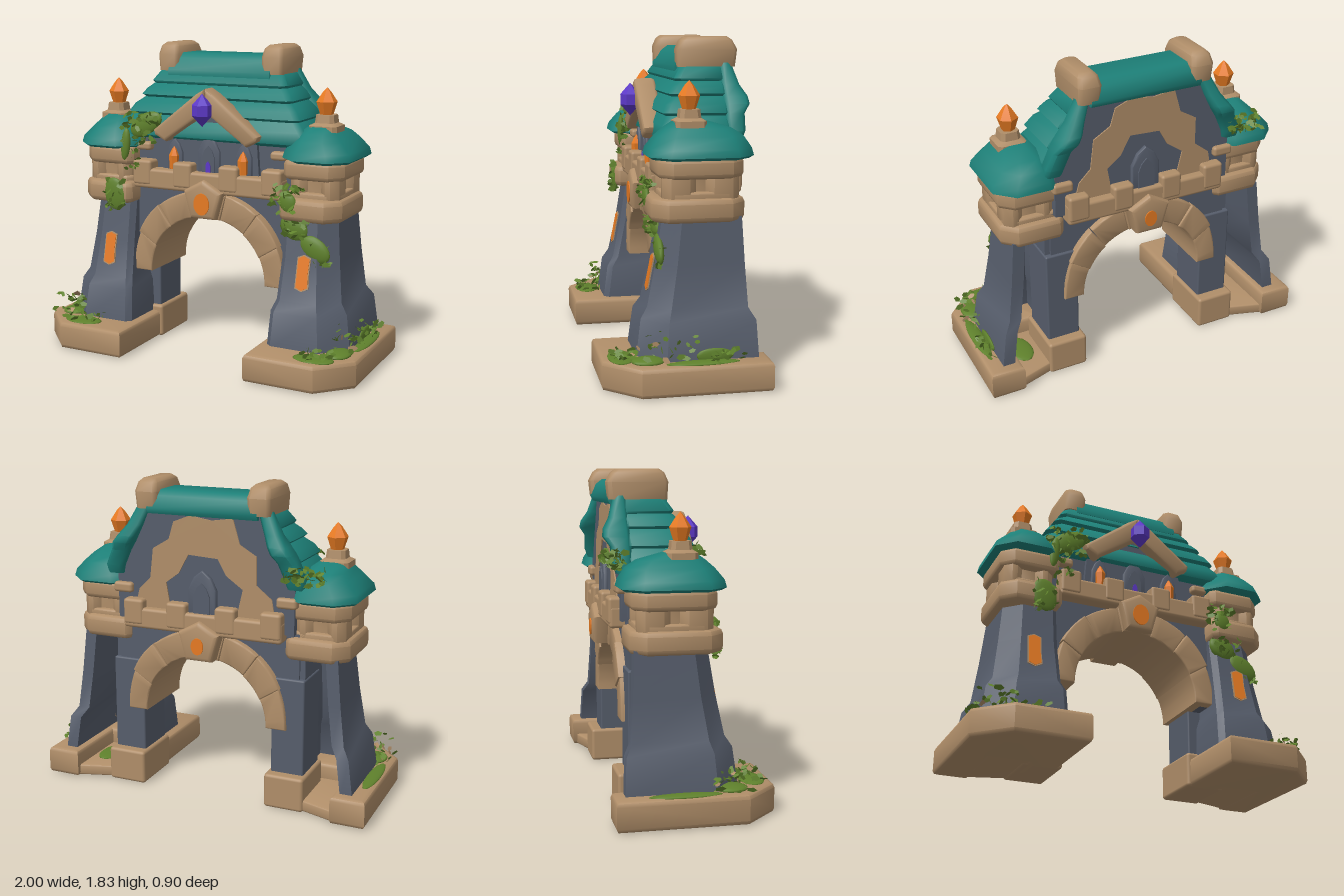
import * as THREE from 'three';
import { mergeGeometries, toCreasedNormals } from 'three/addons/utils/BufferGeometryUtils.js';
import { RoundedBoxGeometry } from 'three/addons/geometries/RoundedBoxGeometry.js';

const material = (name, color, side = THREE.FrontSide) => {
  const m = new THREE.MeshStandardMaterial({ color, side });
  m.name = name;
  return m;
};

export function createModel() {
  const model = new THREE.Group();
  const stone = material('sandstone', 0xb08e69);
  const slate = material('slate', 0x565d6b);
  const tile = material('teal tile', 0x1d8078);
  const glow = material('orange glow', 0xe67a22);
  const gem = material('purple gem', 0x5d39c8);
  const leaf = material('leaf green', 0x5f812c, THREE.DoubleSide);

  const add = (name, geo, mat, x = 0, y = 0, z = 0) => {
    const mesh = new THREE.Mesh(geo, mat);
    mesh.name = name;
    mesh.position.set(x, y, z);
    model.add(mesh);
    return mesh;
  };
  const shapeOf = (pts) => new THREE.Shape(pts.map((p) => new THREE.Vector2(p[0], p[1])));
  const extrude = (shape, depth, b) => new THREE.ExtrudeGeometry(shape, {
    depth: depth - 2 * b, bevelEnabled: b > 0, bevelThickness: b, bevelSize: b,
    bevelOffset: -b, bevelSegments: 2, curveSegments: 20 }).translate(0, 0, b);
  // Outline in x,y pushed from z0 to z1
  const block = (name, shape, z0, z1, mat, b = 0.015) =>
    add(name, toCreasedNormals(extrude(Array.isArray(shape) ? shapeOf(shape) : shape, z1 - z0, b), 0.8), mat, 0, 0, z0);
  // Outline in x,z filled from y0 to y1
  const slab = (name, pts, y0, y1, mat, b = 0.02) =>
    add(name, toCreasedNormals(extrude(shapeOf(pts), y1 - y0, b).rotateX(Math.PI / 2), 0.8), mat, 0, y1, 0);
  const box = (name, x, y, z, w, h, d, mat = stone, r = 0.018) =>
    add(name, new RoundedBoxGeometry(w, h, d, 2, r), mat, x, y, z);

  // Skin through stacked outlines: levels of [y, [[x, z], ...]]
  const loft = (name, levels, mat, crease = 0.6) => {
    const rings = levels.map(([y, pts]) => {
      const v = pts.map((p) => new THREE.Vector2(p[0], p[1]));
      return [y, THREE.ShapeUtils.area(v) < 0 ? v.reverse() : v];
    });
    const n = rings[0][1].length, pos = [], idx = [];
    rings.forEach(([y, v]) => v.forEach((p) => pos.push(p.x, y, p.y)));
    for (let k = 0; k < rings.length - 1; k++) for (let i = 0; i < n; i++) {
      const a = k * n + i, b = k * n + (i + 1) % n;
      idx.push(a, a + n, b, b, a + n, b + n);
    }
    const top = (rings.length - 1) * n;
    THREE.ShapeUtils.triangulateShape(rings[0][1], []).forEach(([a, b, c]) => idx.push(a, b, c));
    THREE.ShapeUtils.triangulateShape(rings[rings.length - 1][1], []).forEach(([a, b, c]) => idx.push(top + a, top + c, top + b));
    const geo = new THREE.BufferGeometry();
    geo.setAttribute('position', new THREE.Float32BufferAttribute(pos, 3));
    geo.setIndex(idx);
    return add(name, toCreasedNormals(geo, crease), mat);
  };
  // Rectangle with cut corners, c at the outside and k at the inside
  const cut = (s, x0, x1, z0, z1, c, k = c) => [[x0 + k, z0], [x1 - c, z0], [x1, z0 + c], [x1, z1 - c],
    [x1 - c, z1], [x0 + k, z1], [x0, z1 - k], [x0, z0 + k]].map(([x, z]) => [x * s, z]);
  const oval = (x, y, rx, ry) => new THREE.Shape().absellipse(x, y, rx, ry, 0, Math.PI * 2);
  const pointed = (x, y, w, h) => [[x - w, y], [x + w, y], [x + w, y + h * 0.6], [x + w * 0.6, y + h * 0.85], [x, y + h], [x - w * 0.6, y + h * 0.85], [x - w, y + h * 0.6]];
  const lathe = (pts, n) => toCreasedNormals(new THREE.LatheGeometry(pts.map((p) => new THREE.Vector2(...p)), n), 0.3);

  for (const s of [1, -1]) {
    const flip = (pts) => pts.map(([x, z]) => [x * s, z]);
    // Plinth, with a channel open to the back
    slab('plinthFloor', flip([[0.42, -0.34], [0.6, -0.34], [0.82, -0.41], [0.97, -0.41], [0.97, 0.25], [0.8, 0.42], [0.42, 0.42]]), 0.005, 0.07, stone, 0.01);
    slab('plinth', flip([[1, -0.43], [1, 0.27], [0.82, 0.455], [0.4, 0.455], [0.4, -0.2], [0.6, -0.2], [0.6, 0], [0.8, 0], [0.8, -0.43]]), 0, 0.165, stone, 0.025);
    box('pillarBase', s * 0.5, 0.1, -0.19, 0.235, 0.2, 0.34);
    box('pillar', s * 0.5, 0.45, -0.17, 0.195, 0.62, 0.26, slate, 0.01);

    // Tapered tower, hollow at the back
    loft('tower', [[0.15, 0.45, 0.91, -0.37, 0.265, 0.14], [0.36, 0.46, 0.88, -0.36, 0.237, 0.13],
      [0.42, 0.48, 0.84, -0.325, 0.198, 0.11], [0.65, 0.49, 0.81, -0.312, 0.15, 0.1], [0.9, 0.49, 0.785, -0.3, 0.11, 0.09]]
      .map(([y, x0, x1, zb, zf, c]) => [y, flip([[x1, zb], [x1, zf - c], [x1 - c, zf], [x0 + 0.03, zf], [x0, zf - 0.03],
        [x0, -0.27], [x0 + 0.1, -0.27], [x0 + 0.1, zf - 0.12], [x1 - 0.07, zf - 0.12], [x1 - 0.07, zb]])]), slate);

    // Glowing slit window on the sloping front
    for (const [name, w, h, d, m] of [['windowFrame', 0.042, 0.105, 0.006, stone], ['towerWindow', 0.035, 0.098, 0.009, glow]]) {
      const pts = [[-w, -h * 0.85], [0, -h], [w, -h * 0.8], [w * 0.9, 0], [w, h * 0.85], [0, h], [-w * 0.9, h * 0.85]];
      const win = block(name, pts, 0, d, m, 0);
      win.position.set(s * 0.635, 0.585, 0.164);
      win.rotation.x = -0.19;
    }

    // Gallery: cornice, piers with openings, cap
    slab('towerCornice', cut(s, 0.48, 0.835, -0.32, 0.18, 0.08, 0.03), 0.875, 1.005, stone, 0.03);
    slab('galleryCore', cut(s, 0.52, 0.77, -0.25, 0.09, 0.05), 0.98, 1.14, stone, 0);
    slab('gallerySill', cut(s, 0.505, 0.81, -0.285, 0.125, 0.06, 0.03), 0.98, 1.035, stone, 0.01);
    for (const x of [0.58, 0.76]) for (const z of [-0.195, 0.035])
      slab('galleryPier', cut(s, x - 0.06, x + 0.05, z - 0.09, z + 0.09, 0.04), 0.99, 1.14, stone, 0.008);
    slab('galleryCap', cut(s, 0.49, 0.835, -0.31, 0.145, 0.07, 0.03), 1.105, 1.215, stone, 0.025);

    // Flared tower roof and finial
    loft('towerRoof', [[1.205, 0.5, 0.85, -0.34, 0.17, 0.09], [1.22, 0.47, 0.87, -0.365, 0.195, 0.1], [1.26, 0.48, 0.862, -0.355, 0.185, 0.1],
      [1.32, 0.52, 0.805, -0.32, 0.14, 0.08], [1.36, 0.55, 0.77, -0.26, 0.095, 0.06], [1.4, 0.6, 0.735, -0.12, 0.04, 0.03]]
      .map(([y, x0, x1, z0, z1, c]) => [y, cut(s, x0, x1, z0, z1, c)]), tile, 1);
    loft('finialBase', [[1.36, 0.6, 0.765], [1.4, 0.6, 0.765], [1.415, 0.625, 0.74], [1.46, 0.63, 0.735]]
      .map(([y, a, b]) => [y, cut(s, a, b, -0.035 - (b - a) / 2, -0.035 + (b - a) / 2, 0.02)]), stone);
    add('finialFlame', lathe([[0, 0], [0.034, 0], [0.06, 0.08], [0.024, 0.135], [0, 0.16]], 6), glow, s * 0.68, 1.45, -0.035);

    // Ridge end stone
    loft('ridgeStone', [[1.665, 0.275, 0.4, -0.36, -0.04], [1.76, 0.27, 0.405, -0.37, -0.035], [1.81, 0.28, 0.395, -0.345, -0.055], [1.83, 0.3, 0.375, -0.32, -0.08]]
      .map(([y, a, b, c, d]) => [y, cut(s, a, b, c, d, 0.02)]), stone, 0.9);
    // Roof lip overhanging the back wall
    loft('roofLip', [[1.28, 0.5, 0.6, -0.35], [1.33, 0.49, 0.6, -0.37], [1.42, 0.45, 0.56, -0.375], [1.47, 0.42, 0.535, -0.41],
      [1.51, 0.4, 0.505, -0.405], [1.57, 0.37, 0.46, -0.37], [1.69, 0.32, 0.4, -0.335]]
      .map(([y, a, b, z]) => [y, cut(s, a, b, z, -0.27, 0.02)]), tile, 1);

    // Gable beam, eave stones and lamps
    block('gableBeam', flip([[0, 1.585], [0.06, 1.55], [0.34, 1.33], [0.33, 1.3], [0.26, 1.265], [0, 1.45]]), 0.02, 0.145, stone, 0.02);
    box('eaveBlock', s * 0.44, 1.22, 0.05, 0.1, 0.05, 0.08);
    box('rearEaveBlock', s * 0.5, 1.2, -0.32, 0.12, 0.06, 0.07);
    block('lampNiche', pointed(s * 0.225, 1.08, 0.05, 0.2), 0.06, 0.085, slate, 0.006);
    add('lamp', lathe([[0, 0], [0.028, 0], [0.032, 0.08], [0.015, 0.115], [0, 0.135]], 6), glow, s * 0.225, 1.1, 0.09);
  }

  // Arch stones and the wall around them; the power p tunes the fullness of the curve
  const arc = (t, rx, ry, p = 0.92) => [rx * Math.sign(Math.cos(t)) * Math.abs(Math.cos(t)) ** p, 0.46 + ry * Math.abs(Math.sin(t)) ** p];
  const inner = Array.from({ length: 17 }, (_, i) => arc(Math.PI * (1 - i / 16), 0.43, 0.43));
  block('archWall', [[-0.56, 0.46], ...inner, [0.56, 0.46], [0.56, 1.02], [-0.56, 1.02]], -0.285, 0.06, slate, 0);
  const stones = 7;
  for (let i = 0; i < stones; i++) {
    const out = 0.008 * (i % 2), pts = [];
    const angle = (k) => Math.PI * (i + k / 5) / stones;
    for (let k = 0; k <= 5; k++) pts.push(arc(angle(k), 0.375, 0.37, 0.96));
    for (let k = 5; k >= 0; k--) pts.push(arc(angle(k), 0.495 + out, 0.52));
    block('archStone', pts, -0.322 - out, 0.115 + out, stone, 0.008);
  }

  // Parapets, merlons and keystones on both faces
  for (const f of [1, -1]) {
    const z = (d) => f > 0 ? 0.055 + d : -0.295 - d;
    box('parapet', 0, 1.035, z(0.035), 0.97, 0.12, 0.1);
    for (const x of [-0.42, -0.15, 0.15, 0.42]) box('merlon', x, 1.07, z(0.04), 0.125, 0.15, 0.1);
    const span = (a, b) => [Math.min(z(a), z(b)), Math.max(z(a), z(b))];
    block('keystone', [[0, 1.06], [-0.125, 0.99], [-0.08, 0.83], [0.08, 0.83], [0.125, 0.99]], ...span(0, 0.12), stone, 0.025);
    const size = f > 0 ? 1 : 0.75;
    block('keystoneLight', oval(0, 0.92, 0.05 * size, 0.064 * size), ...span(0.118, 0.126), glow, 0);
  }

  // Upper hall with front gable and niche
  box('hall', 0, 1.16, -0.125, 1.06, 0.34, 0.34, slate, 0.01);
  block('gableWall', [[-0.32, 1.04], [0.32, 1.04], [0.3, 1.3], [0, 1.53], [-0.3, 1.3]], -0.1, 0.07, slate, 0);
  block('nicheFrame', pointed(0, 1.08, 0.07, 0.23), 0.065, 0.085, slate, 0.006);
  block('niche', pointed(0, 1.08, 0.04, 0.17), 0.084, 0.091, slate, 0);
  block('nicheGlow', pointed(0, 1.09, 0.016, 0.07), 0.09, 0.096, gem, 0);
  add('gem', lathe([[0, -0.095], [0.058, -0.03], [0.058, 0.03], [0, 0.095]], 6), gem, 0, 1.465, 0.165);

  // Tiled main roof in overlapping courses
  loft('mainRoof', [[1.27, 0.6, 0.06], [1.29, 0.62, 0.095], [1.36, 0.585, 0.085], [1.41, 0.54, 0.055], [1.425, 0.555, 0.075], [1.47, 0.525, 0.055],
    [1.51, 0.475, 0.015], [1.525, 0.49, 0.035], [1.56, 0.465, 0.01], [1.59, 0.43, -0.02], [1.605, 0.44, -0.01], [1.69, 0.385, -0.065]]
    .map(([y, w, zf]) => [y, cut(1, -w, w, -0.3, zf, 0.03)]), tile, 1.3);
  // Cross roof behind the gable
  block('gableRoof', [[0, 1.55], [-0.3, 1.32], [-0.28, 1.26], [0.28, 1.26], [0.3, 1.32]], -0.15, 0.05, tile, 0);
  loft('ridge', [[1.64, -0.35, -0.03], [1.67, -0.365, -0.03], [1.74, -0.34, -0.07], [1.77, -0.3, -0.11]]
    .map(([y, a, b]) => [y, [[-0.33, a], [0.33, a], [0.33, b], [-0.33, b]]]), tile, 1);

  // Back wall with bare patches of stone and a niche
  block('backWall', [[-0.54, 1.02], [0.54, 1.02], [0.54, 1.34], [0.38, 1.67], [-0.38, 1.67], [-0.54, 1.34]], -0.325, -0.29, slate, 0);
  const patch = shapeOf([[-0.44, 1.05], [0.44, 1.05], [0.4, 1.2], [0.33, 1.27], [0.31, 1.44], [0.21, 1.5], [0.18, 1.6], [0.08, 1.64],
    [-0.05, 1.62], [-0.18, 1.64], [-0.22, 1.5], [-0.32, 1.44], [-0.32, 1.28], [-0.41, 1.21]]);
  patch.holes.push(new THREE.Path(shapeOf([[-0.2, 1.08], [-0.24, 1.25], [-0.14, 1.32], [-0.09, 1.41], [0.09, 1.42], [0.15, 1.31], [0.23, 1.25], [0.2, 1.08]]).getPoints()));
  block('barePatch', patch, -0.333, -0.324, stone, 0);
  block('backNicheFrame', pointed(0, 1.07, 0.085, 0.27), -0.35, -0.32, slate, 0.008);
  block('backNiche', pointed(0, 1.07, 0.05, 0.2), -0.358, -0.349, slate, 0);

  // Ivy: flattened mats and scattered leaves
  let seed = 7;
  const rnd = () => (seed = (seed * 16807) % 2147483647) / 2147483647;
  const leaves = (name, x, y, z, rx, ry, rz, count, mat) => {
    const parts = [];
    for (let i = 0; i < count; i++) {
      const g = new THREE.CircleGeometry(0.016 + rnd() * 0.016, 5).scale(1, 0.6, 1);
      g.rotateX(rnd() * 2.4 - 1.2).rotateY(rnd() * 6).rotateZ(rnd() * 2 - 1);
      parts.push(g.translate((rnd() * 2 - 1) * rx, (rnd() * 2 - 1) * ry, (rnd() * 2 - 1) * rz));
    }
    add(name, mergeGeometries(parts), mat, x, y, z);
  };
  const ivy = [ // x, y, z, rx, ry, rz, leaf count
    [-0.86, 0.23, 0.2, 0.12, 0.06, 0.1, 44], [-0.72, 0.185, 0.33, 0.1, 0.015, 0.08, 20], [0.78, 0.185, 0.33, 0.1, 0.015, 0.08, 20],
    [0.91, 0.23, 0.1, 0.07, 0.08, 0.14, 44], [-0.44, 1.34, 0.11, 0.12, 0.09, 0.03, 48], [-0.48, 1.18, 0.14, 0.06, 0.09, 0.03, 26],
    [-0.59, 0.92, 0.18, 0.07, 0.1, 0.02, 28], [0.53, 1.0, 0.17, 0.09, 0.08, 0.03, 50], [0.58, 0.84, 0.16, 0.08, 0.06, 0.02, 22],
    [0.72, 0.7, 0.13, 0.06, 0.08, 0.02, 14], [-0.61, 1.36, -0.38, 0.1, 0.05, 0.05, 54], [0.95, 0.2, -0.2, 0.03, 0.03, 0.1, 18]];
  for (const row of ivy) leaves('leaves', ...row, leaf);
  for (const s of [1, -1]) leaves('witheredLeaves', s * 0.88, 0.22, 0.18, 0.09, 0.05, 0.1, 12, stone);
  // Ivy mats: x, y, z, rx, ry, rz, tilt
  for (const [x, y, z, rx, ry, rz, tilt] of [[-0.72, 0.165, 0.35, 0.12, 0.012, 0.07, 0], [0.78, 0.165, 0.35, 0.12, 0.012, 0.07, 0],
    [-0.945, 0.165, -0.06, 0.04, 0.012, 0.2, 0], [0.945, 0.165, -0.06, 0.04, 0.012, 0.2, 0], [-0.87, 0.17, 0.2, 0.08, 0.02, 0.09, 0],
    [0.88, 0.17, 0.22, 0.07, 0.02, 0.09, 0], [0.91, 0.19, -0.13, 0.012, 0.04, 0.1, 0], [0.72, 0.07, -0.15, 0.07, 0.015, 0.12, 0],
    [-0.59, 0.93, 0.172, 0.075, 0.1, 0.018, 0.2], [-0.42, 1.35, 0.085, 0.12, 0.065, 0.025, 0.5], [-0.53, 1.23, 0.14, 0.03, 0.1, 0.02, -0.1],
    [0.54, 0.98, 0.17, 0.05, 0.06, 0.02, 0.3], [0.56, 0.83, 0.12, 0.09, 0.07, 0.03, -0.6], [0.69, 0.72, 0.128, 0.1, 0.065, 0.025, -0.6]]) {
    const mat = add('ivyMat', new THREE.IcosahedronGeometry(1, 2).scale(rx, ry, rz), leaf, x, y, z);
    mat.rotation.z = tilt;
  }
  return model;
}
